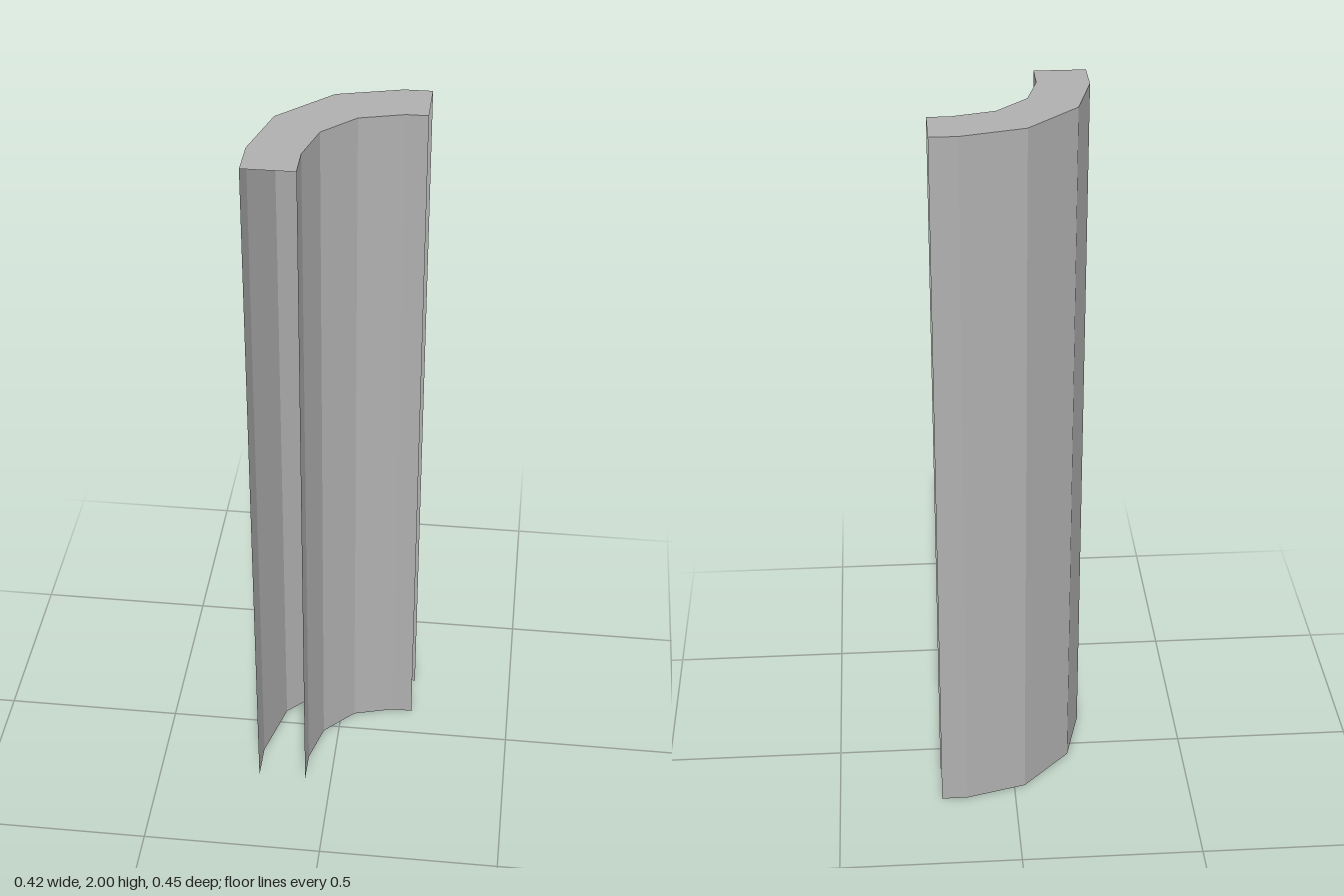
import * as THREE from 'three';

const HEIGHT = 2;

// Plan outlines as [x, z], running from the front end to the right end
const OUTER = [[-0.21, 0.225], [-0.21, 0.12], [-0.165, -0.048], [-0.03, -0.183], [0.138, -0.227], [0.21, -0.227]];
const INNER = [[-0.075, 0.225], [-0.075, 0.136], [-0.044, 0.022], [0.039, -0.061], [0.153, -0.092], [0.21, -0.092]];

// Upright faceted wall along a plan path; it faces to the right of the path
function wallGeometry(path) {
  const positions = [];
  for (let i = 0; i < path.length - 1; i++) {
    const [ax, az] = path[i];
    const [bx, bz] = path[i + 1];
    positions.push(ax, 0, az, bx, 0, bz, bx, HEIGHT, bz);
    positions.push(ax, 0, az, bx, HEIGHT, bz, ax, HEIGHT, az);
  }
  const geometry = new THREE.BufferGeometry();
  geometry.setAttribute('position', new THREE.Float32BufferAttribute(positions, 3));
  geometry.computeVertexNormals();
  return geometry;
}

export function createModel() {
  const group = new THREE.Group();
  group.name = 'curvedWallCorner';

  const grey = new THREE.MeshStandardMaterial({ color: 0xb0b0b0, flatShading: true, side: THREE.DoubleSide });
  grey.name = 'grey';

  const add = (name, geometry) => {
    const mesh = new THREE.Mesh(geometry, grey);
    mesh.name = name;
    group.add(mesh);
    return mesh;
  };

  // Two thin walls, open at both ends and underneath
  add('outerWall', wallGeometry([...OUTER].reverse()));
  add('innerWall', wallGeometry(INNER));

  // Flat cap joining the walls at the top
  const outline = [...INNER, ...[...OUTER].reverse()].map(([x, z]) => new THREE.Vector2(x, -z));
  const cap = new THREE.ShapeGeometry(new THREE.Shape(outline));
  cap.rotateX(-Math.PI / 2);
  cap.translate(0, HEIGHT, 0);
  add('topCap', cap);

  return group;
}
